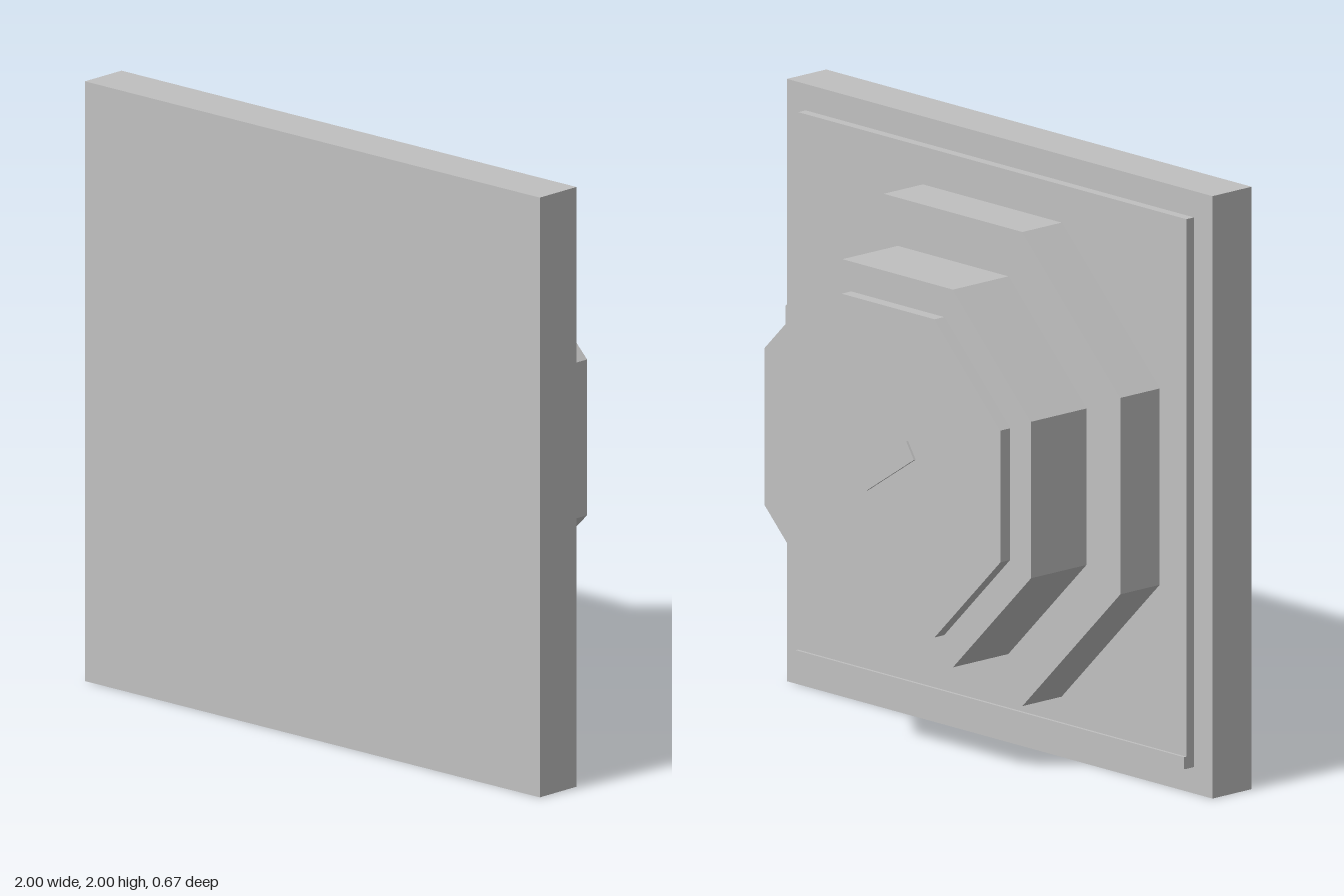
import * as THREE from 'three';

export function createModel() {
  const model = new THREE.Group();
  model.name = 'steppedOctagonPanel';

  const grey = new THREE.MeshStandardMaterial({ color: 0xc0c0c0, flatShading: true });
  grey.name = 'plain grey';

  const add = (name, geometry, y, z) => {
    const mesh = new THREE.Mesh(geometry, grey);
    mesh.name = name;
    mesh.position.set(0, y, z);
    model.add(mesh);
    return mesh;
  };

  // Box between two depths
  const slab = (name, w, h, y, zBack, zFront) =>
    add(name, new THREE.BoxGeometry(w, h, zFront - zBack), y, (zBack + zFront) / 2);

  // Regular octagonal prism, flat sides up, between two depths
  const octagon = (name, apothem, zBack, zFront) => {
    const radius = apothem / Math.cos(Math.PI / 8);
    const geometry = new THREE.CylinderGeometry(radius, radius, zFront - zBack, 8)
      .rotateY(Math.PI / 8)
      .rotateX(Math.PI / 2);
    return add(name, geometry, 1, (zBack + zFront) / 2);
  };

  // Square front panel, raised back plate and its bottom lip
  slab('frontPanel', 2, 2, 1, 0.163, 0.335);
  slab('backPlate', 1.825, 1.825, 1.0, 0.13, 0.163);
  slab('bottomLip', 1.825, 0.04, 0.108, 0.12, 0.13);

  // Octagonal tiers stepping back
  octagon('largeTier', 0.787, -0.042, 0.13);
  octagon('middleTier', 0.627, -0.285, -0.042);
  octagon('smallTier', 0.528, -0.327, -0.285);

  // Slanted bar on the last tier
  const bar = slab('slantedBar', 0.266, 0.066, 1, -0.335, -0.327);
  bar.rotation.z = -THREE.MathUtils.degToRad(33);

  return model;
}
